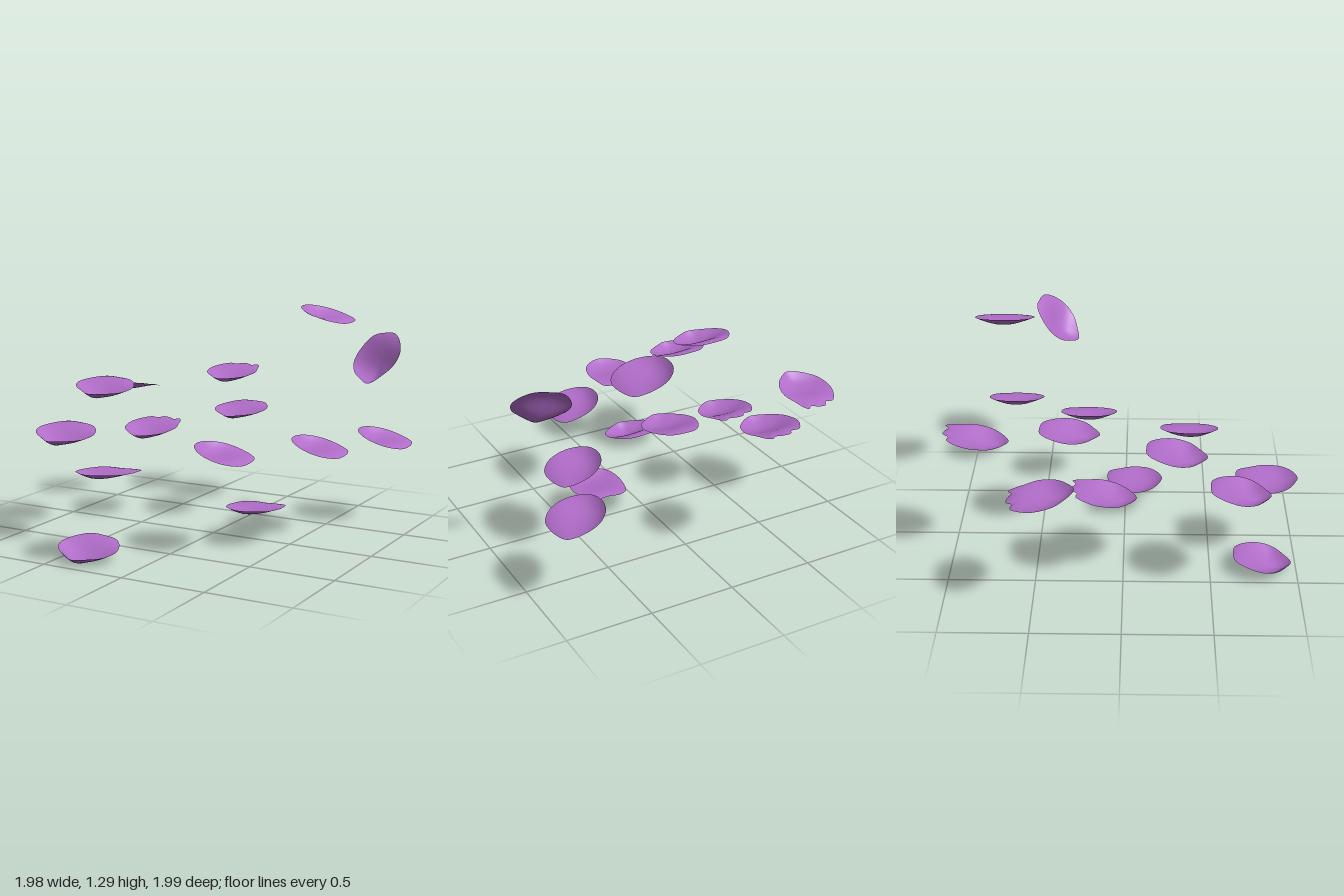
import * as THREE from 'three';

const RINGS = 9, SEGMENTS = 48;

// Petal outlines seen from above as [x, z] pairs, running front, right, back, left
const outlines = {
  notched: [[0, 1], [0.45, 0.8], [0.85, 0.42], [1, -0.1], [0.86, -0.5], [0.74, -0.82], [0.6, -0.97],
    [0.42, -0.86], [0.2, -0.95], [-0.1, -0.98], [-0.27, -0.8], [-0.52, -0.84], [-0.78, -0.6], [-0.98, -0.15], [-0.88, 0.4], [-0.5, 0.77]],
  round: [[0, 1], [0.45, 0.78], [0.85, 0.45], [1, 0], [0.84, -0.5], [0.48, -0.88], [0, -0.97],
    [-0.48, -0.92], [-0.85, -0.5], [-1, 0], [-0.85, 0.42], [-0.45, 0.77]],
  square: [[0, 1], [0.48, 0.84], [0.84, 0.5], [1, -0.05], [0.92, -0.5], [0.8, -0.88], [0.45, -0.97],
    [0, -0.92], [-0.5, -0.98], [-0.82, -0.82], [-0.96, -0.3], [-0.95, 0.2], [-0.78, 0.6], [-0.4, 0.87]],
  side: [[-0.3, 0.95], [0.3, 1], [0.72, 0.8], [1, 0.4], [1, -0.4], [0.82, -0.82], [0.2, -1],
    [-0.4, -0.9], [-0.85, -0.5], [-1, 0.05], [-0.85, 0.55]],
};

// Cupped sheet: deep near the tip, flattening and curling over toward the base
function petalGeometry(outline, width, length, depth, sideways) {
  const curve = new THREE.CatmullRomCurve3(outline.map(([x, z]) => new THREE.Vector3(x, 0, z)), true);
  const positions = [], index = [];
  for (let r = 0; r <= RINGS; r++) {
    for (let s = 0; s < SEGMENTS; s++) {
      const k = r / RINGS, p = curve.getPoint(s / SEGMENTS).multiplyScalar(k);
      const along = sideways ? -p.x : p.z;
      const y = -depth * (1 - k * k) * (0.67 + 1.33 * along);
      positions.push(p.x * width / 2, y, p.z * length / 2);
      if (r === RINGS) continue;
      const a = r * SEGMENTS + s, b = r * SEGMENTS + (s + 1) % SEGMENTS;
      const c = a + SEGMENTS, d = b + SEGMENTS;
      index.push(a, c, d);
      if (r > 0) index.push(a, d, b);
    }
  }
  const geometry = new THREE.BufferGeometry();
  geometry.setAttribute('position', new THREE.Float32BufferAttribute(positions, 3));
  geometry.setIndex(index);
  geometry.computeVertexNormals();
  // Give every copy of the centre point the same upright normal
  const n = geometry.attributes.normal, tilt = new THREE.Vector3(
    sideways ? -2 * 1.33 * depth / width : 0, 1, sideways ? 0 : 2 * 1.33 * depth / length).normalize();
  for (let s = 0; s < SEGMENTS; s++) n.setXYZ(s, tilt.x, tilt.y, tilt.z);
  return geometry;
}

export function createModel() {
  const model = new THREE.Group();
  model.name = 'fallingPetals';
  const material = new THREE.MeshStandardMaterial({ color: 0xb06cc8, side: THREE.DoubleSide });

  // kind, centre x y z, width, length, pitch, roll, depth
  const petals = [
    ['notched', -0.32, 0.835, -0.82, 0.32, 0.37, 0.14, -0.04, 0.045],
    ['notched', -0.835, 0.77, -0.43, 0.32, 0.37, -0.2, 0.02, 0.04],
    ['notched', -0.49, 0.58, -0.105, 0.32, 0.37, 0.15, -0.04, 0.045],
    ['round', 0.01, 0.7, -0.32, 0.32, 0.36, 0.11, 0, 0.036],
    ['round', -0.56, 0.88, 0.29, 0.355, 0.34, 0.15, -0.06, 0.05],
    ['round', -0.595, 0.665, 0.64, 0.355, 0.34, 0.15, -0.06, 0.05],
    ['round', -0.345, 0.07, 0.8, 0.355, 0.345, 0.16, -0.06, 0.055],
    ['square', -0.21, 0.515, 0.815, 0.32, 0.355, -0.09, 0.03, 0.03],
    ['square', 0.295, 0.21, 0.055, 0.32, 0.345, -0.08, 0.02, 0.03],
    ['side', 0.27, 0.585, 0.385, 0.312, 0.345, 0, -0.3, 0.035],
    ['side', 0.39, 1.25, -0.71, 0.312, 0.345, 0, -0.3, 0.035],
    ['side', 0.78, 0.53, -0.7, 0.312, 0.345, 0, -0.3, 0.035],
    ['side', 0.565, 0.54, -0.23, 0.312, 0.345, 0, -0.3, 0.035],
    ['round', 0.835, 1.05, -0.42, 0.32, 0.36, 0.84, 0.3, 0.045],
  ];
  petals.forEach(([kind, x, y, z, width, length, pitch, roll, depth], i) => {
    const petal = new THREE.Mesh(petalGeometry(outlines[kind], width, length, depth, kind === 'side'), material);
    petal.name = `petal${i + 1}`;
    petal.position.set(x, y, z);
    petal.rotation.set(pitch, 0, roll);
    model.add(petal);
  });
  return model;
}
